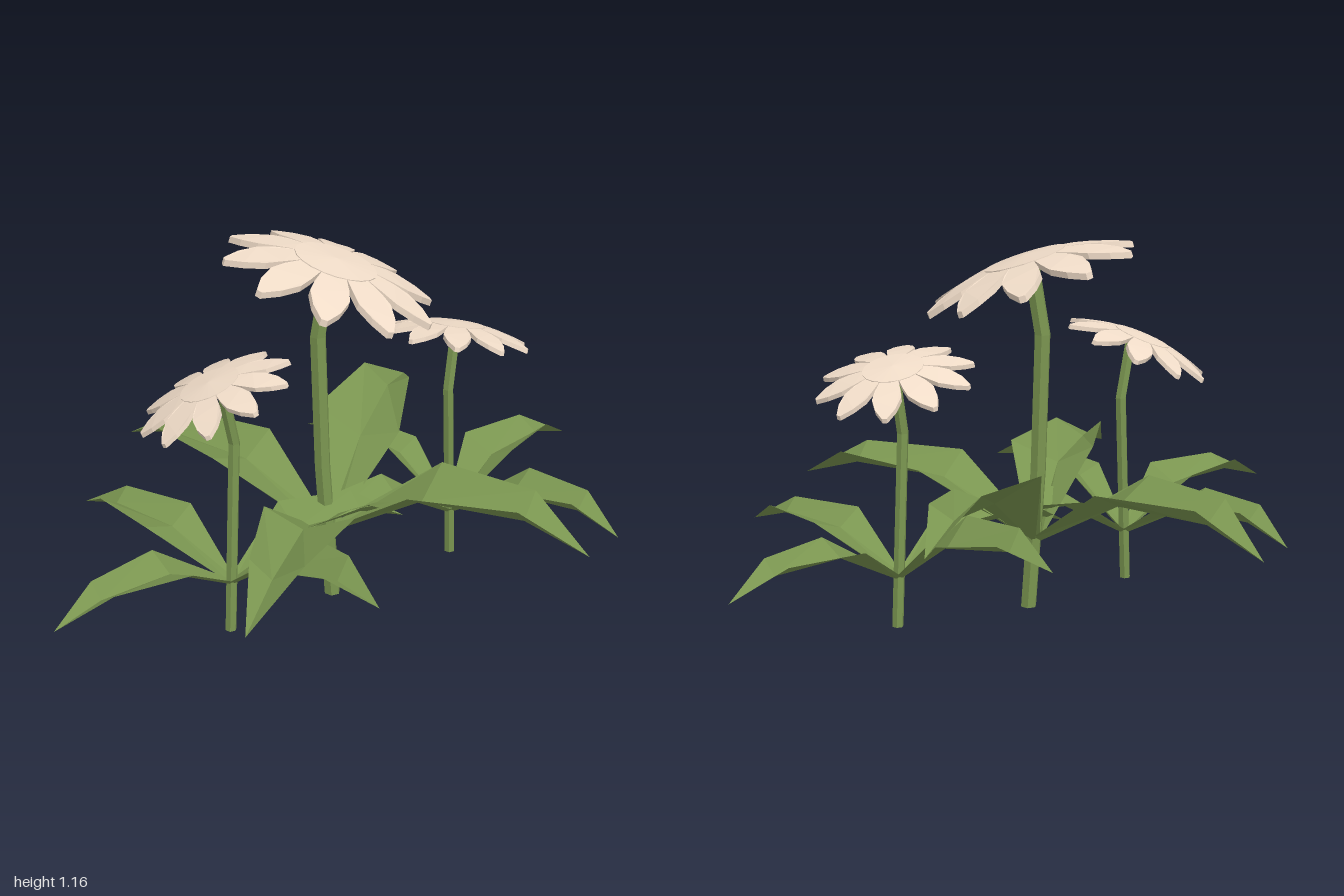
import * as THREE from 'three';
import { mergeGeometries } from 'three/addons/utils/BufferGeometryUtils.js';

const V = (x, y, z) => new THREE.Vector3(x, y, z);
const UP = V(0, 1, 0);
const green = new THREE.MeshStandardMaterial({ color: 0x7a9550, flatShading: true });
const leafGreen = new THREE.MeshStandardMaterial({ color: 0x7a9550, flatShading: true, side: THREE.DoubleSide });
const cream = new THREE.MeshStandardMaterial({ color: 0xf0dcc8, flatShading: true });

// Six-sided stem whose rings follow a bent path
function stem(points, radius) {
  const geo = new THREE.CylinderGeometry(radius, radius, 1, 6, points.length - 1);
  const pos = geo.attributes.position;
  for (let i = 0; i < pos.count; i++) {
    const p = points[Math.round((pos.getY(i) + 0.5) * (points.length - 1))];
    pos.setXYZ(i, pos.getX(i) + p.x, p.y, pos.getZ(i) + p.z);
  }
  geo.computeVertexNormals();
  const mesh = new THREE.Mesh(geo, green);
  mesh.name = 'stem';
  return mesh;
}

// Leaf folded along its midrib, arching up and out along +z with a slight sideways bow
const LEAF_ROWS = [ // distance, right edge x, midrib x, left edge x, midrib height, edge height
  [0, -0.02, 0, 0.02, 0, 0.02],
  [0.31, -0.105, 0.015, 0.175, 0.178, 0.24],
  [0.63, -0.05, 0.015, 0.11, 0.185, 0.243],
  [0.835, 0, 0, 0, 0.12, 0.12],
];
function leafGeometry() {
  const verts = [], index = [];
  LEAF_ROWS.forEach(([d, right, center, left, mid, edge], i) => {
    verts.push(right, edge, d, center, mid, d, left, edge, d);
    if (i === 0) return;
    for (let k = 0; k < 2; k++) {
      const a = (i - 1) * 3 + k, b = a + 3;
      index.push(a, b, b + 1, a, b + 1, a + 1);
    }
  });
  const geo = new THREE.BufferGeometry();
  geo.setAttribute('position', new THREE.Float32BufferAttribute(verts, 3));
  geo.setIndex(index);
  geo.computeVertexNormals();
  return geo;
}

// Domed flower head: thin central disc with ten pointed petals
function bloomGeometry() {
  const thick = 0.02, count = 10;
  const half = [[0.12, 0.038], [0.18, 0.053], [0.23, 0.06], [0.29, 0.042], [0.338, 0.01]];
  const outline = [...half, ...half.map(([r, w]) => [r, -w]).reverse()];
  const shape = new THREE.Shape(outline.map(([r, w]) => new THREE.Vector2(r, w)));
  const parts = [];
  for (let i = 0; i < count; i++) {
    const petal = new THREE.ExtrudeGeometry(shape, { depth: thick, bevelEnabled: false });
    petal.rotateX(-Math.PI / 2).translate(0, -thick, 0);
    petal.rotateY(-(0.06 + (i / count) * Math.PI * 2));
    parts.push(petal);
  }
  const disc = new THREE.CylinderGeometry(0.13, 0.13, thick, 20).toNonIndexed();
  parts.push(disc.translate(0, -thick / 2 + 0.002, 0));
  const geo = mergeGeometries(parts);
  const pos = geo.attributes.position;
  for (let i = 0; i < pos.count; i++) {
    const r2 = pos.getX(i) ** 2 + pos.getZ(i) ** 2;
    pos.setY(i, pos.getY(i) - 0.6 * r2);
  }
  geo.computeVertexNormals();
  return geo;
}

// Each plant has four leaves given by their tips (x, z); the first one is raised and banked
const PLANTS = [
  {
    name: 'tallFlower', scale: 1, radius: 0.026,
    path: [V(-0.02, 0, 0.008), V(-0.035, 0.45, -0.018), V(-0.04, 0.88, -0.03), V(-0.02, 1.105, 0)],
    bloom: V(-0.005, 1.122, 0.015), facing: V(0.17, 1, 0.27), root: V(-0.03, 0.21, -0.01),
    leaves: [[0.78, -0.27], [0.115, 0.835], [-0.815, 0.28], [0, -0.84]],
  },
  {
    name: 'rightFlower', scale: 0.72, radius: 0.018,
    path: [V(-0.4, 0.012, -0.105), V(-0.36, 0.63, -0.105), V(-0.4, 0.825, -0.115)],
    bloom: V(-0.417, 0.832, -0.148), facing: V(-0.27, 1, -0.3), root: V(-0.39, 0.165, -0.105),
    leaves: [[-0.45, 0.5], [-1, -0.255], [-0.355, -0.725], [0.15, 0.165]],
  },
  {
    name: 'leftFlower', scale: 0.72, radius: 0.018,
    path: [V(0.4, 0.02, 0.19), V(0.36, 0.62, 0.19), V(0.395, 0.82, 0.19)],
    bloom: V(0.405, 0.833, 0.185), facing: V(0.27, 1, -0.03), root: V(0.39, 0.165, 0.19),
    leaves: [[0.39, -0.415], [1, 0.28], [0.405, 0.79], [-0.17, -0.025]],
  },
];

export function createModel() {
  const model = new THREE.Group();
  model.name = 'flowers';
  const leafGeo = leafGeometry(), bloomGeo = bloomGeometry();
  for (const p of PLANTS) {
    const plant = new THREE.Group();
    plant.name = p.name;
    plant.add(stem(p.path, p.radius));

    const bloom = new THREE.Mesh(bloomGeo, cream);
    bloom.name = 'bloom';
    bloom.position.copy(p.bloom);
    bloom.quaternion.setFromUnitVectors(UP, p.facing.clone().normalize());
    bloom.scale.setScalar(p.scale * 0.98);
    plant.add(bloom);

    p.leaves.forEach(([x, z], i) => {
      const dx = x - p.root.x, dz = z - p.root.z;
      const raised = i === 0;
      const leaf = new THREE.Mesh(leafGeo, leafGreen);
      leaf.name = raised ? 'raisedLeaf' : 'leaf';
      leaf.position.copy(p.root);
      leaf.rotation.set(raised ? -0.12 : 0, Math.atan2(dx, dz), raised ? 0.23 : 0, 'YXZ');
      leaf.scale.set(p.scale, p.scale, Math.hypot(dx, dz) / 0.835);
      plant.add(leaf);
    });
    model.add(plant);
  }
  return model;
}
